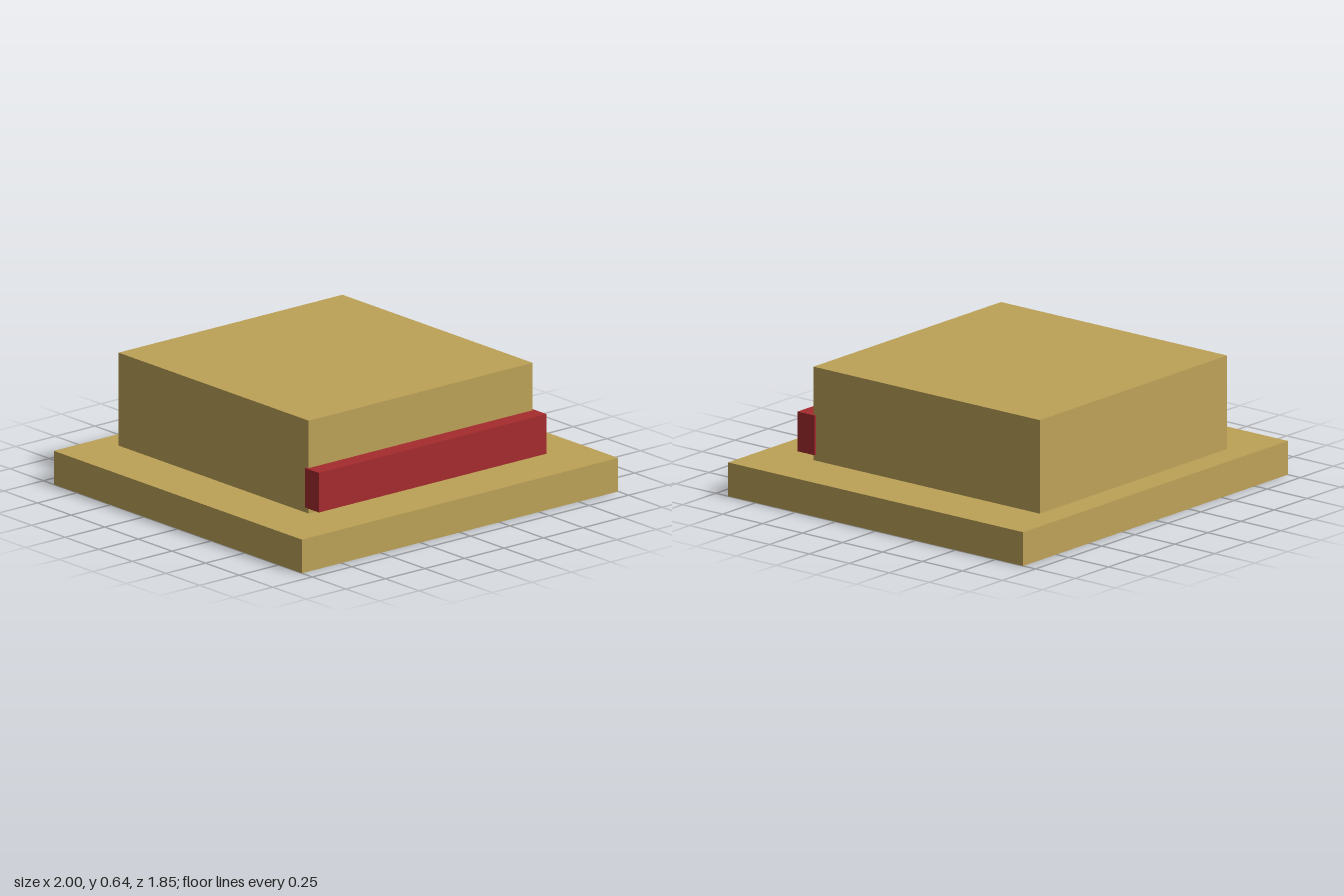
import * as THREE from 'three';

export function createModel() {
  const tan = new THREE.MeshStandardMaterial({ color: 0xbda257 });
  tan.name = 'tan';
  const red = new THREE.MeshStandardMaterial({ color: 0xa52b2d });
  red.name = 'red';

  const model = new THREE.Group();
  model.name = 'steppedBlock';

  // Box given by its lower and upper limits on each axis
  function addBox(name, material, [x0, x1], [y0, y1], [z0, z1]) {
    const mesh = new THREE.Mesh(new THREE.BoxGeometry(x1 - x0, y1 - y0, z1 - z0), material);
    mesh.position.set((x0 + x1) / 2, (y0 + y1) / 2, (z0 + z1) / 2);
    mesh.name = name;
    model.add(mesh);
  }

  // Wide slab, raised block set towards the back, red bar across its front
  addBox('baseSlab', tan, [-1, 1], [0, 0.17], [-0.923, 0.923]);
  addBox('upperBlock', tan, [-0.708, 0.708], [0.17, 0.64], [-0.785, 0.63]);
  addBox('frontBar', red, [-0.72, 0.72], [0.2, 0.4], [0.615, 0.72]);

  return model;
}
